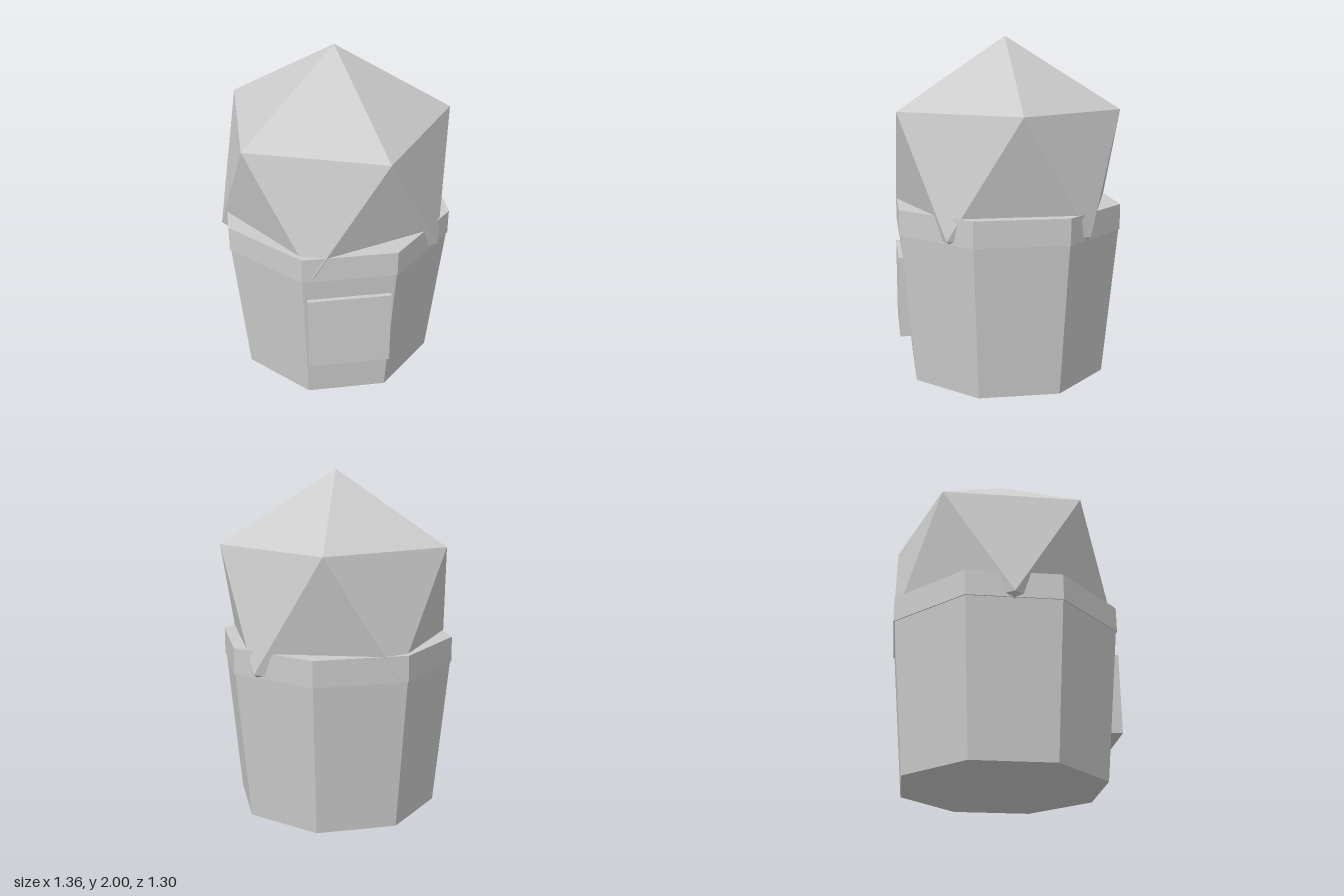
import * as THREE from 'three';

export function createModel() {
  const model = new THREE.Group();
  const grey = new THREE.MeshStandardMaterial({ color: 0xcccccc, flatShading: true });
  grey.name = 'light grey';

  const add = (name, geometry, x, y, z) => {
    const mesh = new THREE.Mesh(geometry, grey);
    mesh.name = name;
    mesh.position.set(x, y, z);
    model.add(mesh);
  };

  // Eight-sided prism with flat sides facing the axes
  const octagon = (top, bottom, height) =>
    new THREE.CylinderGeometry(top, bottom, height, 8, 1, false, Math.PI / 8);

  // Tapered pot and its slightly overhanging rim
  add('pot', octagon(0.69, 0.605, 0.88), 0, 0.44, 0);
  add('rim', octagon(0.697, 0.697, 0.15), 0, 0.955, 0);

  // Square plate on the front, partly sunk into the sloping side
  add('frontPlate', new THREE.BoxGeometry(0.475, 0.47, 0.1), 0, 0.51, 0.6);

  // Faceted crown, tipped so that one corner points straight up
  const crown = new THREE.IcosahedronGeometry(0.76, 0);
  crown.rotateZ(-Math.atan(2 / (1 + Math.sqrt(5))));
  add('crown', crown, 0, 1.24, 0);

  return model;
}
